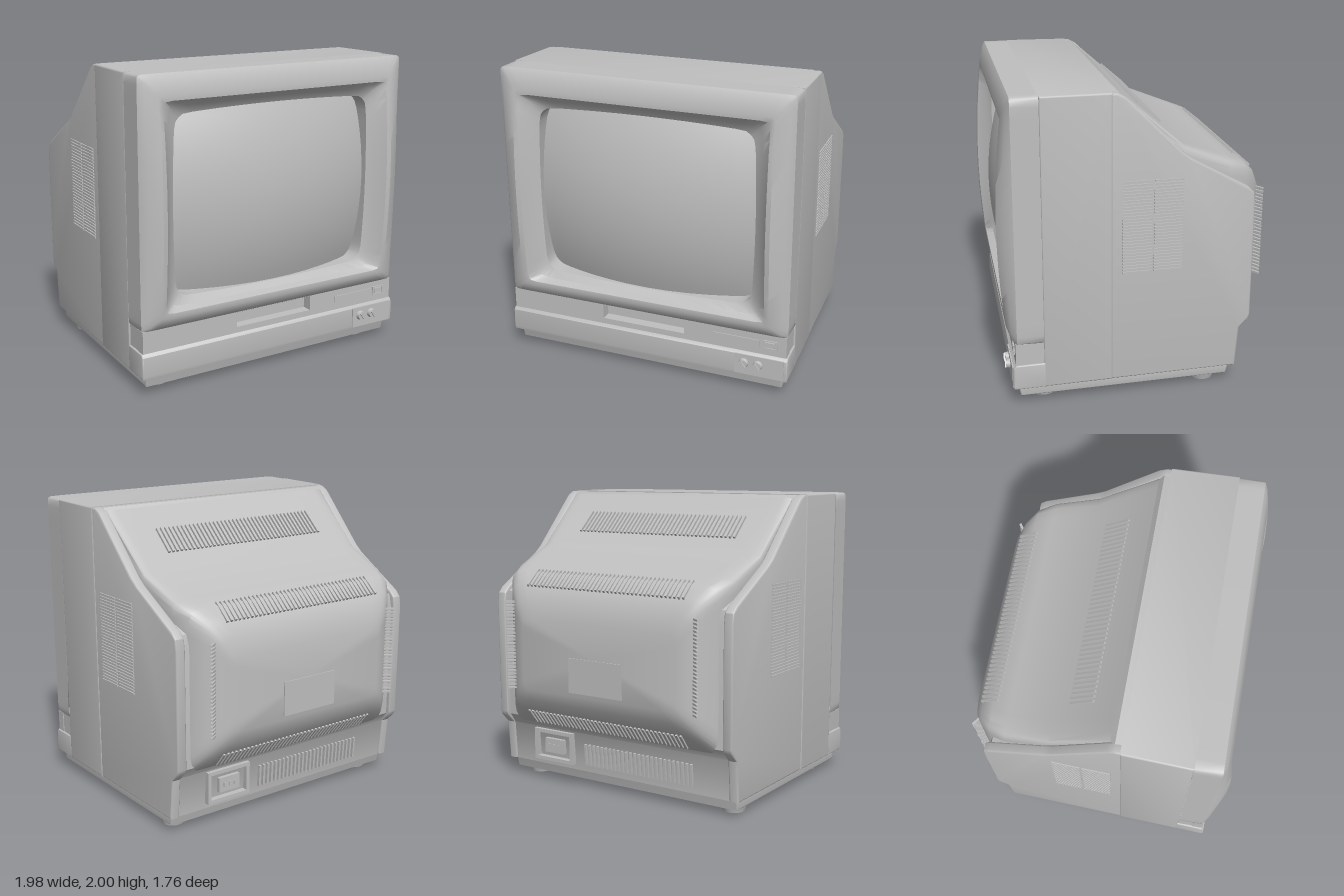
import * as THREE from 'three';
import { toCreasedNormals } from 'three/addons/utils/BufferGeometryUtils.js';

const plastic = new THREE.MeshStandardMaterial({ color: 0xbfbfbf });
plastic.name = 'grey plastic';

function add(parent, name, geo, x = 0, y = 0, z = 0) {
  const m = new THREE.Mesh(geo, plastic);
  m.name = name;
  m.position.set(x, y, z);
  parent.add(m);
  return m;
}
const box = (w, h, d) => new THREE.BoxGeometry(w, h, d);

// The cabinet narrows slightly towards the back
const taper = z => 1 - 0.036 * (0.6 - z);

// Rounded rectangular ring; depth(x, y) gives z at each point
function ring(hw, bottom, top, radius, depth, bow = 0, n = 16) {
  const pts = [], cy = (bottom + top) / 2, hh = (top - bottom) / 2;
  const sides = [t => [1, t], t => [-t, 1], t => [-1, -t], t => [t, -1]];
  const r = Math.min(radius, hw, hh);
  for (const side of sides) for (let i = 0; i < n; i++) {
    const [u, v] = side(Math.sin((i / n - 0.5) * Math.PI));
    let x = u * hw, y = v * hh;
    const cx = THREE.MathUtils.clamp(x, r - hw, hw - r);
    const cv = THREE.MathUtils.clamp(y, r - hh, hh - r);
    const len = Math.hypot(x - cx, y - cv);
    if (len > r) {
      x = cx + (x - cx) / len * r;
      y = cv + (y - cv) / len * r;
    }
    x += bow * u * (1 - v * v);
    y += bow * v * (1 - u * u) + cy;
    pts.push([x, y, depth(x, y)]);
  }
  return pts;
}

// Joins successive rings into a surface
function loft(rings, crease = 0.6) {
  const n = rings[0].length, index = [];
  for (let i = 0; i < rings.length - 1; i++) for (let j = 0; j < n; j++) {
    const a = i * n + j, b = i * n + (j + 1) % n;
    index.push(a, b, a + n, b, b + n, a + n);
  }
  const g = new THREE.BufferGeometry();
  g.setAttribute('position', new THREE.Float32BufferAttribute(rings.flat(2), 3));
  g.setIndex(index);
  return toCreasedNormals(g, crease);
}

// Side profile of [z, y] points extruded between x0 and x1
function slab(profile, x0, x1, bevel) {
  const shape = new THREE.Shape(profile.map(p => new THREE.Vector2(...p)));
  const depth = x1 - x0 - 2 * bevel;
  const g = new THREE.ExtrudeGeometry(shape, {
    depth, bevelThickness: bevel, bevelSize: bevel, bevelOffset: -bevel, bevelSegments: 3
  });
  g.translate(0, 0, -depth / 2).rotateY(-Math.PI / 2).translate((x0 + x1) / 2, 0, 0);
  const p = g.attributes.position;
  for (let i = 0; i < p.count; i++) p.setX(i, p.getX(i) * taper(p.getZ(i)));
  return toCreasedNormals(g, 0.6);
}

// Flat plate with a rectangular opening; rects are [x0, y0, x1, y1]
function frame(outer, hole, depth) {
  const corners = ([a, b, c, d]) => [[a, b], [c, b], [c, d], [a, d]].map(p => new THREE.Vector2(...p));
  const s = new THREE.Shape(corners(outer));
  s.holes.push(new THREE.Path(corners(hole)));
  return new THREE.ExtrudeGeometry(s, { depth, bevelEnabled: false });
}

// Row of ribs across x, each running between two [z, y] points
function ventRow(parent, name, p0, p1, x0, x1, n) {
  const g = new THREE.Group();
  g.name = name;
  parent.add(g);
  const dz = p1[0] - p0[0], dy = p1[1] - p0[1];
  for (let i = 0; i < n; i++) {
    const x = x0 + (x1 - x0) * i / (n - 1);
    const m = add(g, 'rib', box(0.014, 0.022, Math.hypot(dz, dy)), x, (p0[1] + p1[1]) / 2, (p0[0] + p1[0]) / 2);
    m.rotation.x = -Math.atan2(dy, dz);
  }
}

export function createModel() {
  const model = new THREE.Group();
  model.name = 'monitor';

  // Cabinet: front band, side walls and the slightly lower core between them
  add(model, 'frontBand', slab([[0.61, 0.12], [0.61, 2], [0.17, 2], [0.17, 0.12]], -0.985, 0.985, 0.012));
  const wall = [[0.3, 0.12], [0.3, 1.995], [0.14, 1.995], [0.09, 1.97], [-0.27, 1.61], [-0.33, 1.565],
    [-0.7, 1.36], [-0.74, 1.32], [-0.75, 1.25], [-0.75, 0.48], [-0.74, 0.45], [-0.68, 0.39], [-0.66, 0.12]];
  add(model, 'leftWall', slab(wall, 0.91, 0.98, 0.012));
  add(model, 'rightWall', slab(wall, -0.98, -0.91, 0.012));
  const core = [[0.3, 0.12], [0.3, 1.995], [0.13, 1.995], [0.08, 1.95], [-0.3, 1.56], [-0.7, 1.33],
    [-0.72, 1.25], [-0.72, 0.46], [-0.67, 0.39], [-0.65, 0.12]];
  add(model, 'core', slab(core, -0.925, 0.925, 0.005));

  // Rear hump covering the picture tube: [z, half width, bottom, top, radius]
  const hump = [[-0.88, 0, 0.95, 0.95, 0], [-0.878, 0.6, 0.7, 1.18, 0.05], [-0.85, 0.68, 0.62, 1.3, 0.07],
    [-0.8, 0.75, 0.54, 1.4, 0.08], [-0.72, 0.82, 0.44, 1.475, 0.08], [-0.6, 0.86, 0.36, 1.515, 0.06],
    [-0.3, 0.88, 0.3, 1.63, 0.04], [0.1, 0.9, 0.2, 1.98, 0.03]];
  add(model, 'rearHump', loft(hump.map(([z, hw, b, t, r]) => ring(hw, b, t, r, () => z))));

  // Bezel: [half width, bottom, top, z, radius, bulge share, bow]
  const bulge = y => 0.06 * Math.max(0, 1 - ((y - 1.15) / 0.8) ** 2);
  const bezel = [[0.985, 0.42, 2, 0.61, 0.03, 0, 0], [0.985, 0.42, 2, 0.78, 0.03, 0, 0],
    [0.95, 0.44, 1.97, 0.8, 0.03, 0.5, 0], [0.87, 0.5, 1.87, 0.815, 0.03, 1, 0],
    [0.84, 0.53, 1.84, 0.81, 0.04, 1, 0], [0.78, 0.555, 1.795, 0.77, 0.05, 0.5, 0.01],
    [0.725, 0.605, 1.745, 0.75, 0.08, 0.2, 0.02], [0.725, 0.605, 1.745, 0.62, 0.08, 0, 0.02]];
  add(model, 'bezel', loft(bezel.map(([hw, b, t, z, r, k, bow]) =>
    ring(hw, b, t, r, (x, y) => z + k * bulge(y), bow))));

  // Domed screen
  const dome = (x, y) => 0.845 - 0.22 * x * x - 0.3 * (y - 1.175) ** 2;
  const screen = [];
  for (let i = 10; i >= 0; i--) {
    const s = i / 10;
    screen.push(ring(0.73 * s, 1.175 - 0.575 * s, 1.175 + 0.575 * s, 0.08 * s, dome, 0.02 * s));
  }
  add(model, 'screen', loft(screen, 1));

  // Control strip with a pocket, and the lower front panel
  add(model, 'controlStrip', frame([-0.98, 0.27, 0.98, 0.43], [-0.3, 0.325, 0.285, 0.425], 0.07), 0, 0, 0.72);
  add(model, 'pocketBack', box(1.95, 0.16, 0.11), 0, 0.35, 0.665);
  add(model, 'lowerPanel', slab([[0.6, 0.12], [0.805, 0.12], [0.81, 0.14], [0.805, 0.265], [0.79, 0.285],
    [0.6, 0.285]], -0.985, 0.985, 0.008));
  add(model, 'stripPlate', box(0.31, 0.045, 0.008), 0.645, 0.36, 0.792);
  add(model, 'powerFrame', frame([0.825, 0.33, 0.92, 0.39], [0.835, 0.338, 0.91, 0.382], 0.01), 0, 0, 0.788);
  add(model, 'powerButton', box(0.065, 0.035, 0.02), 0.872, 0.36, 0.79);
  add(model, 'knobPlate', box(0.33, 0.14, 0.008), 0.805, 0.2, 0.81);
  for (const x of [0.705, 0.8]) {
    add(model, 'knob', new THREE.CylinderGeometry(0.028, 0.034, 0.03, 20).rotateX(Math.PI / 2), x, 0.212, 0.822);
    add(model, 'knobGrip', box(0.012, 0.05, 0.014), x, 0.212, 0.84).rotation.z = 0.6;
  }

  // Base and feet
  add(model, 'base', slab([[0.78, 0.13], [0.76, 0.05], [-0.61, 0.05], [-0.63, 0.13]], -0.945, 0.945, 0.01));
  for (const x of [-0.8, 0.8]) for (const z of [0.6, -0.47])
    add(model, 'foot', new THREE.CylinderGeometry(0.09, 0.075, 0.055, 24), x, 0.0275, z);

  // Ventilation ribs on top, back and lower back
  ventRow(model, 'topVent', [-0.2, 1.724], [-0.05, 1.855], -0.63, 0.62, 40);
  ventRow(model, 'upperBackVent', [-0.81, 1.395], [-0.69, 1.492], -0.62, 0.6, 40);
  ventRow(model, 'undersideVent', [-0.8, 0.54], [-0.72, 0.44], -0.6, 0.62, 40);
  ventRow(model, 'lowerBackVent', [-0.672, 0.32], [-0.662, 0.17], -0.6, 0.24, 26);

  // Ribs on both sides and on the rear corners
  for (const s of [-1, 1]) {
    const side = new THREE.Group(), corner = new THREE.Group();
    side.name = 'sideVent';
    corner.name = 'cornerVent';
    model.add(side, corner);
    for (let i = 0; i < 30; i++) for (const z of [0.015, -0.185]) {
      const m = add(side, 'rib', box(0.014, 0.011, 0.185), s * 0.981 * taper(z), 0.855 + i * 0.0203, z);
      m.rotation.y = s * 0.035;
    }
    for (let i = 0; i < 26; i++) {
      const m = add(corner, 'rib', box(0.1, 0.013, 0.016), s * 0.715, 0.69 + i * 0.0236, -0.83);
      m.rotation.y = s * 0.62;
    }
  }

  // Rear label panel and power socket
  add(model, 'labelPanel', box(0.42, 0.23, 0.008), 0, 0.84, -0.882);
  add(model, 'socketFrame', frame([0.34, 0.16, 0.67, 0.38], [0.365, 0.185, 0.645, 0.355], 0.04), 0, 0, -0.695);
  add(model, 'socket', box(0.16, 0.1, 0.03), 0.5, 0.27, -0.675);
  for (const x of [0.46, 0.5, 0.54])
    add(model, 'socketPin', box(0.012, 0.03, 0.02), x, 0.27, -0.69);

  return model;
}
